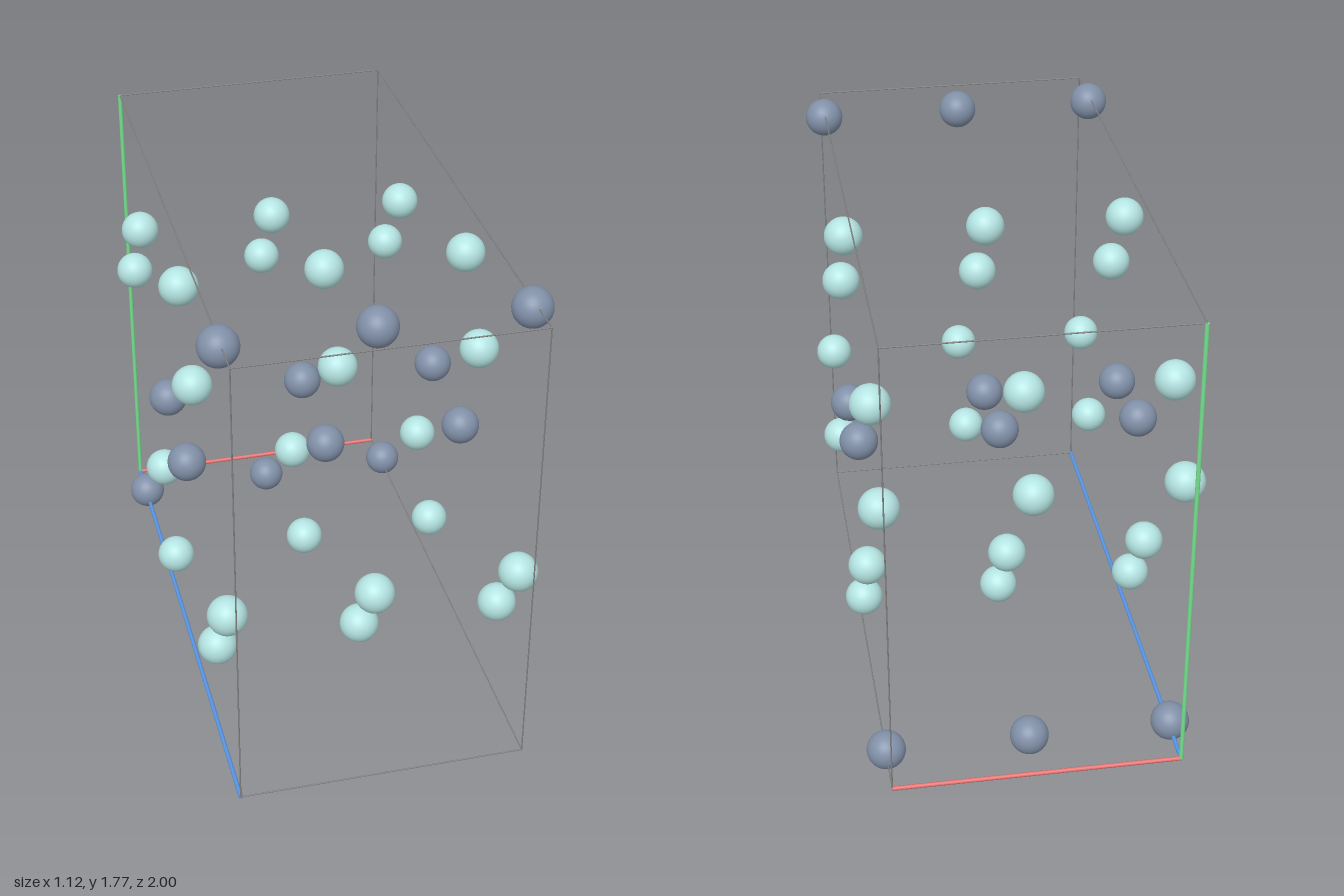
import * as THREE from 'three';

const material = (name, color) => {
  const m = new THREE.MeshStandardMaterial({ color });
  m.name = name;
  return m;
};

export function createModel() {
  const model = new THREE.Group();
  model.name = 'crystalCell';

  const slate = material('slate', 0x8190a8);
  const aqua = material('aqua', 0xb4e4e2);
  const grey = material('edgeGrey', 0x808080);
  const red = material('axisRed', 0xf07878);
  const green = material('axisGreen', 0x78e090);
  const blue = material('axisBlue', 0x5c9cf0);

  // Cell centre and half sizes
  const centre = new THREE.Vector3(0, 0.884, 0.003);
  const half = new THREE.Vector3(0.495, 0.842, 0.996);

  // Atoms: [z, y] offsets, mirrored through the centre and repeated along x
  const sphere = new THREE.SphereGeometry(0.067, 32, 20);
  const addAtoms = (name, mat, sites) => {
    const group = new THREE.Group();
    group.name = name + 's';
    for (const [z, y] of sites)
      for (const s of [1, -1])
        for (const x of [-half.x, 0, half.x]) {
          const atom = new THREE.Mesh(sphere, mat);
          atom.name = name;
          atom.position.set(x, centre.y + s * y, centre.z + s * z);
          group.add(atom);
        }
    model.add(group);
  };
  addAtoms('darkAtom', slate, [[0.822, 0.817], [0.175, -0.025]]);
  addAtoms('lightAtom', aqua, [[0.149, 0.656], [0.339, 0.387], [-0.658, 0.454], [-0.848, 0.184]]);

  // Cell frame: four rods along each axis, those at the origin thick and coloured
  const frame = new THREE.Group();
  frame.name = 'cellFrame';
  const axes = [['x', red], ['y', green], ['z', blue]];
  axes.forEach(([axis, colour], i) => {
    const u = axes[(i + 1) % 3][0];
    const v = axes[(i + 2) % 3][0];
    for (const su of [-1, 1])
      for (const sv of [-1, 1]) {
        const isAxis = su < 0 && sv < 0;
        const r = isAxis ? 0.0075 : 0.0025;
        const rod = new THREE.Mesh(
          new THREE.CylinderGeometry(r, r, 2 * half[axis], 8),
          isAxis ? colour : grey
        );
        rod.name = isAxis ? axis + 'Axis' : 'cellEdge';
        rod.position.copy(centre);
        rod.position[u] += su * half[u];
        rod.position[v] += sv * half[v];
        if (axis === 'x') rod.rotation.z = -Math.PI / 2;
        if (axis === 'z') rod.rotation.x = Math.PI / 2;
        frame.add(rod);
      }
  });
  model.add(frame);

  return model;
}
